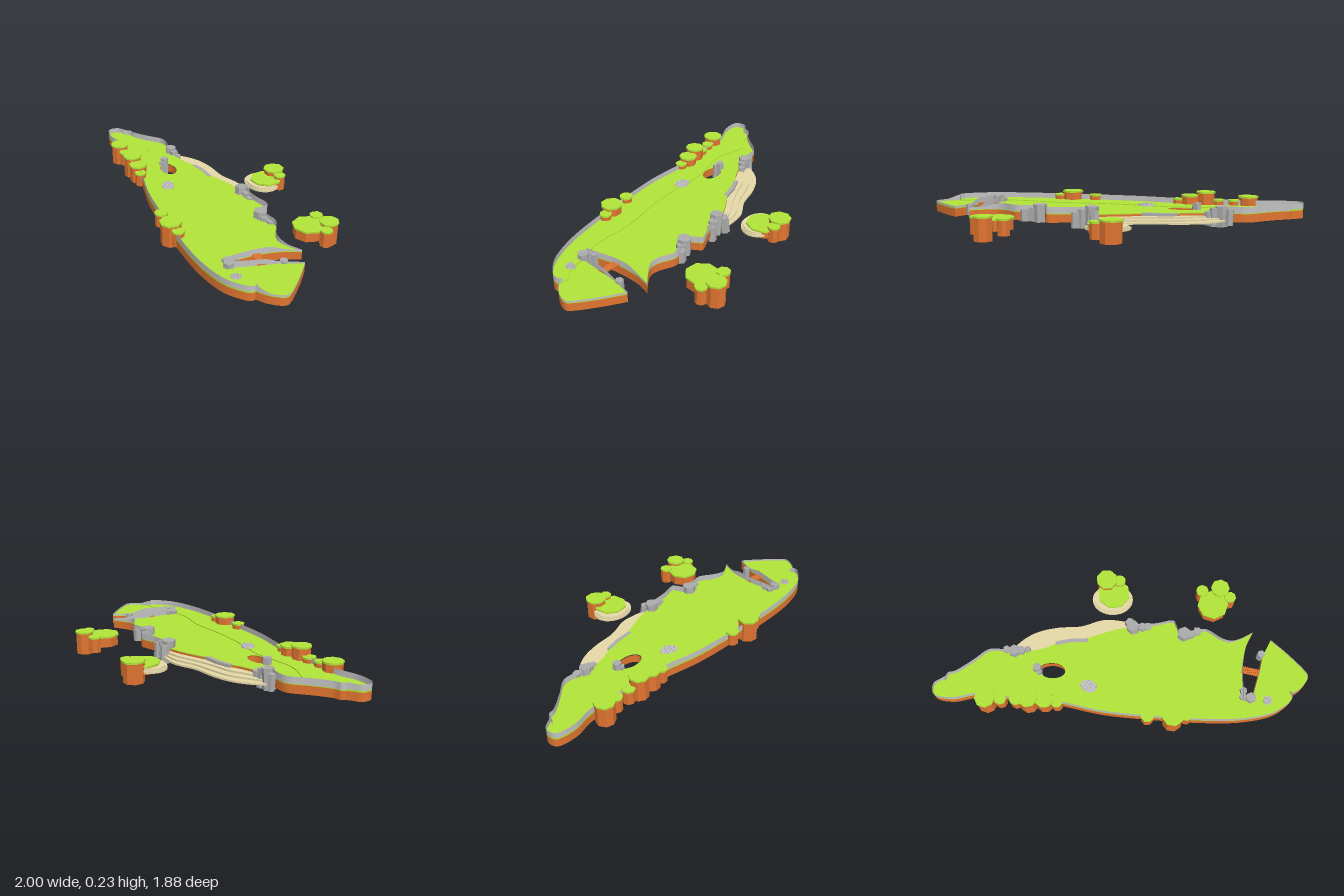
import * as THREE from 'three';

const mat = (name, color, side = THREE.FrontSide, flatShading = false) =>
  Object.assign(new THREE.MeshStandardMaterial({ color, side, flatShading }), { name });

const V = (pts) => pts.map(([x, z]) => new THREE.Vector2(x, z));
const spline = (pts, n = 6) => new THREE.SplineCurve(V(pts)).getPoints((pts.length - 1) * n);

// Horizontal slab whose outline is given in (x, z), from y0 to y1
function slab(points, y0, y1, hole) {
  const flip = (p) => new THREE.Vector2(p.x, -p.y);
  const shape = new THREE.Shape(points.map(flip));
  if (hole) shape.holes.push(new THREE.Path(hole.map(flip)));
  const geo = new THREE.ExtrudeGeometry(shape, { depth: y1 - y0, bevelEnabled: false });
  return geo.rotateX(-Math.PI / 2).translate(0, y0, 0);
}

// Upright sheet that follows a line in (x, z)
function ribbon(points, y0, topAt) {
  const pos = [], idx = [];
  points.forEach((p, i) => {
    pos.push(p.x, y0, p.y, p.x, topAt(p.x), p.y);
    if (i) idx.push(2 * i - 2, 2 * i, 2 * i - 1, 2 * i, 2 * i + 1, 2 * i - 1);
  });
  const geo = new THREE.BufferGeometry();
  geo.setAttribute('position', new THREE.Float32BufferAttribute(pos, 3));
  geo.setIndex(idx);
  geo.computeVertexNormals();
  return geo;
}

export function createModel() {
  const model = new THREE.Group();
  const D = THREE.DoubleSide;
  const grass = mat('grass green', 0xb0e538);
  const clay = mat('clay orange', 0xe07430, D, true);
  const stone = mat('rock grey', 0xacacac, D, true);
  const paleStone = mat('rim grey', 0xc2c2c2, D, true);
  const sand = mat('sand', 0xe6d8a8);
  const add = (name, geo, material, parent = model) => {
    const m = new THREE.Mesh(geo, material);
    m.name = name;
    parent.add(m);
    return m;
  };

  const BASE = 0.08, CLIFF = 0.135, LAWN = 0.14, TERRACE = 0.146;
  // The stone rim gets lower towards the +x end
  const rimTop = (x) => 0.183 - 0.03 * THREE.MathUtils.smoothstep(x, 0.62, 0.74);
  const rim = (name, pts, y0 = LAWN) => add(name, ribbon(pts, y0, rimTop), paleStone);
  const cliff = (name, pts) => add(name, ribbon(pts, BASE, () => CLIFF), clay);

  // Long terrace along the -x side, a small step above the main lawn
  const outer = spline([[-0.83, -0.915], [-0.88, -0.925], [-0.95, -0.94], [-1, -0.88], [-0.93, -0.77], [-0.8, -0.67],
    [-0.66, -0.48], [-0.48, -0.24], [-0.32, 0.04], [-0.13, 0.3], [0.06, 0.54], [0.25, 0.75],
    [0.43, 0.89], [0.57, 0.933], [0.63, 0.925], [0.645, 0.89]]);
  const inner = spline([[0.645, 0.89], [0.62, 0.855], [0.54, 0.82], [0.43, 0.71], [0.3, 0.59], [0.17, 0.36],
    [-0.02, 0.14], [-0.19, -0.1], [-0.32, -0.32], [-0.5, -0.5], [-0.57, -0.61], [-0.62, -0.77],
    [-0.72, -0.84], [-0.83, -0.915]]);
  const terrace = [...outer, ...inner.slice(1, -1)];
  add('terraceCliff', slab(terrace, BASE, CLIFF), clay);
  add('terraceLawn', slab(terrace, CLIFF, TERRACE), grass);
  rim('terraceRim', outer, TERRACE - 0.003);

  // Main lawn, open underneath, with a pond hole
  const backEdge = spline([[-0.88, -0.905], [-0.83, -0.925], [-0.78, -0.895], [-0.65, -0.865], [-0.53, -0.845], [-0.47, -0.79], [-0.42, -0.7]]);
  const beachEdge = spline([[-0.42, -0.7], [-0.25, -0.58], [-0.15, -0.53], [-0.05, -0.44], [0.08, -0.37], [0.2, -0.3], [0.3, -0.22]]);
  const sideEdge = spline([[0.3, -0.22], [0.4, -0.12], [0.5, -0.045], [0.49, 0], [0.47, 0.06], [0.55, 0.12],
    [0.61, 0.18], [0.63, 0.3], [0.68, 0.37], [0.82, 0.425]]);
  const northBank = spline([[0.82, 0.425], [0.7, 0.46], [0.55, 0.55], [0.43, 0.66], [0.39, 0.69]]);
  const hidden = V([[0.34, 0.72], [0.12, 0.45], [-0.25, -0.03], [-0.42, -0.24], [-0.58, -0.48], [-0.76, -0.75]]);
  const pond = new THREE.EllipseCurve(-0.33, -0.42, 0.09, 0.056, 0, Math.PI * 2, false, 0.9).getPoints(28);
  const mainOutline = [...backEdge, ...beachEdge.slice(1), ...sideEdge.slice(1), ...northBank.slice(1), ...hidden];
  add('mainLawn', slab(mainOutline, CLIFF, LAWN, pond.slice(0, -1)), grass);
  cliff('pondBank', pond);
  [['back', backEdge], ['side', sideEdge], ['northBank', northBank]].forEach(([n, pts]) => {
    cliff(n + 'Cliff', pts);
    rim(n + 'Rim', pts);
  });
  cliff('beachCliff', beachEdge);

  // Headland beyond the creek
  const southBank = spline([[0.44, 0.735], [0.48, 0.71], [0.62, 0.645], [0.73, 0.59], [0.86, 0.555]]);
  const headEdge = spline([[0.86, 0.555], [0.857, 0.7], [0.84, 0.87], [0.81, 0.92], [0.72, 0.93], [0.64, 0.91]]);
  add('headlandLawn', slab([...southBank, ...headEdge.slice(1), ...V([[0.5, 0.88], [0.4, 0.8]])], CLIFF, LAWN), grass);
  [['southBank', southBank], ['headland', headEdge]].forEach(([n, pts]) => {
    cliff(n + 'Cliff', pts);
    rim(n + 'Rim', pts);
  });

  // Stepped sandy beach
  const shore = spline([[-0.42, -0.75], [-0.3, -0.748], [-0.18, -0.712], [-0.06, -0.63], [0.06, -0.515], [0.21, -0.425], [0.315, -0.28]]);
  [[1, 0.098], [0.68, 0.11], [0.36, 0.122]].forEach(([t, top], i) => {
    const edge = beachEdge.map((p, k) => p.clone().lerp(shore[k], t));
    const under = beachEdge.map((p) => new THREE.Vector2(p.x - 0.02, p.y + 0.03)).reverse();
    add('beachStep' + i, slab([...edge, ...under], 0.086, top), sand);
  });
  // Rock face at the head of the beach
  [[-0.125, -0.513, 0.11, -0.62], [-0.04, -0.438, 0.12, -0.8]].forEach(([x, z, len, turn], i) => {
    const face = add('beachRockFace' + i, new THREE.BoxGeometry(len, 0.045, 0.028), stone);
    face.position.set(x, 0.118, z);
    face.rotation.y = turn;
  });

  // Oval sand ring around the small islet
  [[1, 0.098], [0.94, 0.105], [0.88, 0.112]].forEach(([s, top], i) => {
    const oval = new THREE.EllipseCurve(0.365, -0.495, 0.145 * s, 0.118 * s, 0, Math.PI * 2, false, 0.85).getPoints(36);
    add('isletSand' + i, slab(oval.slice(0, -1), 0.086, top), sand);
  });

  // Clay pillars with grass caps: x, z, radius, bottom, top
  [
    [-0.79, -0.6, 0.07, 0.06, 0.21], [-0.72, -0.53, 0.044, 0.08, 0.182], [-0.65, -0.45, 0.046, 0.08, 0.182],
    [-0.6, -0.38, 0.068, 0.075, 0.235], [-0.525, -0.3, 0.066, 0.08, 0.21], [-0.48, -0.23, 0.042, 0.085, 0.182],
    [-0.14, 0.29, 0.046, 0.09, 0.185], [-0.03, 0.42, 0.075, 0.05, 0.21], [0.04, 0.48, 0.042, 0.08, 0.185],
    [0.805, 0.075, 0.11, 0.055, 0.135], [0.835, -0.05, 0.045, 0.035, 0.145], [0.932, 0.035, 0.067, 0, 0.16],
    [0.93, 0.13, 0.042, 0.03, 0.145], [0.395, -0.51, 0.116, 0.07, 0.13], [0.43, -0.61, 0.076, 0.025, 0.17],
    [0.49, -0.54, 0.043, 0.045, 0.155],
  ].forEach(([x, z, r, y0, y1], i) => {
    const pillar = new THREE.Group();
    pillar.name = 'pillar' + i;
    pillar.position.set(x, 0, z);
    pillar.rotation.y = i * 0.7;
    const h = y1 - y0 - 0.012;
    add('pillarStem', new THREE.CylinderGeometry(r * 0.92, r * 0.92, h, 8), clay, pillar).position.y = y0 + h / 2;
    add('pillarCap', new THREE.CylinderGeometry(r, r, 0.012, 8), grass, pillar).position.y = y1 - 0.006;
    model.add(pillar);
  });

  // Leaning hexagonal rocks: x, z, radius, bottom, top
  [
    [-0.43, -0.76, 0.026, 0.06, 0.165], [-0.41, -0.71, 0.04, 0.05, 0.185], [-0.37, -0.68, 0.03, 0.05, 0.17],
    [-0.335, -0.655, 0.024, 0.06, 0.15], [0.295, -0.27, 0.032, 0.045, 0.165], [0.28, -0.215, 0.045, 0.04, 0.19],
    [0.325, -0.175, 0.03, 0.045, 0.17], [0.36, -0.155, 0.03, 0.045, 0.15], [0.48, 0.08, 0.047, 0.07, 0.188],
    [0.515, 0.115, 0.03, 0.075, 0.165], [0.565, 0.13, 0.032, 0.075, 0.155], [-0.39, -0.505, 0.03, 0.06, 0.185],
    [-0.4, -0.475, 0.02, 0.065, 0.165], [0.735, 0.57, 0.027, 0.08, 0.155], [0.44, 0.65, 0.025, 0.08, 0.165],
    [0.405, 0.68, 0.026, 0.08, 0.165], [0.43, 0.72, 0.036, 0.08, 0.178],
  ].forEach(([x, z, r, y0, y1], i) => {
    const rock = add('rock' + i, new THREE.CylinderGeometry(r, r * 1.05, y1 - y0, 6), stone);
    rock.position.set(x, (y0 + y1) / 2, z);
    rock.rotation.set(0.06 * Math.sin(i * 2), i * 0.4, 0.07 * Math.cos(i * 3));
  });

  // Round patches of pebbles set in the grass
  [[-0.245, -0.155, 0.045, 0.062], [0.5, 0.815, 0.035, 0.03]].forEach(([x, z, rx, rz], i) => {
    const patch = new THREE.Group();
    patch.name = 'pebblePatch' + i;
    patch.position.set(x, TERRACE, z);
    patch.rotation.y = 0.4;
    add('patchBase', new THREE.CylinderGeometry(0.95, 1, 0.012, 14).scale(rx, 1, rz), paleStone, patch);
    for (let k = 0; k < 14; k++) {
      const d = 0.85 * Math.sqrt((k + 0.5) / 14), a = k * 2.4;
      add('pebble', new THREE.CylinderGeometry(0.005, 0.006, 0.006, 5), stone, patch)
        .position.set(rx * d * Math.cos(a), 0.007, rz * d * Math.sin(a));
    }
    model.add(patch);
  });

  // Plank bridge over the creek
  const bridge = new THREE.Group();
  bridge.name = 'bridge';
  bridge.position.set(0.585, LAWN + 0.006, 0.597);
  bridge.rotation.y = 0.5;
  for (let i = 0; i < 9; i++)
    add('plank', new THREE.BoxGeometry(0.05, 0.007, 0.012), clay, bridge).position.z = (i - 4) * 0.0135;
  for (const s of [-1, 1])
    add('beam', new THREE.BoxGeometry(0.006, 0.008, 0.12), clay, bridge).position.set(s * 0.016, -0.006, 0);
  model.add(bridge);

  return model;
}
